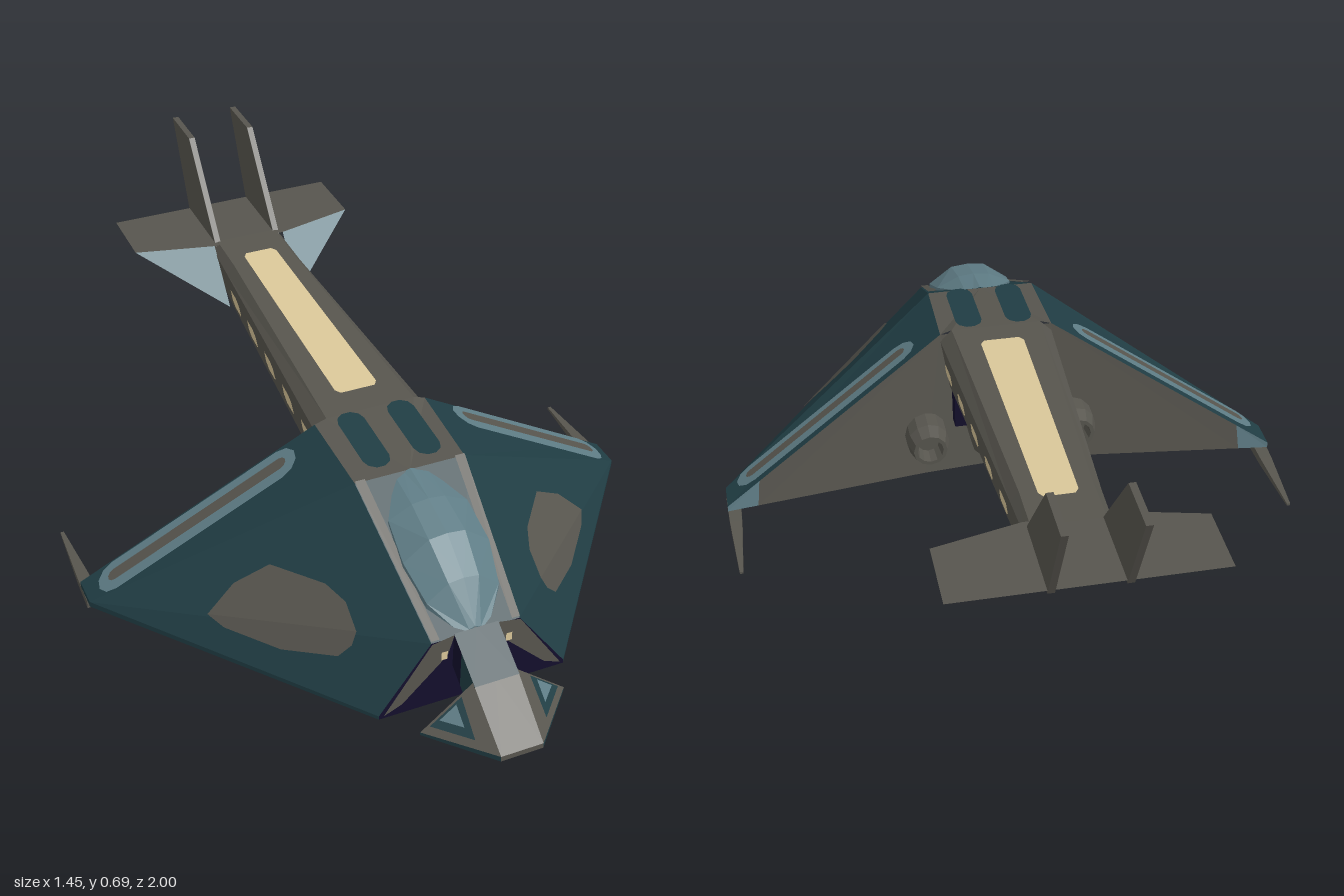
import * as THREE from 'three';

const paint = (name, color, side = THREE.FrontSide) => {
  const m = new THREE.MeshStandardMaterial({ color, flatShading: true, side });
  m.name = name;
  return m;
};

export function createModel() {
  const root = new THREE.Group();
  root.name = 'ship';
  const teal = paint('dark teal', 0x203d44);
  const slate = paint('slate', 0x4d6069);
  const grey = paint('warm grey', 0x57554e);
  const blue = paint('pale blue', 0x5f7d86);
  const tan = paint('lit tan', 0xdac799);
  const navy = paint('deep navy', 0x130f2c);
  const nozzleGrey = paint('nozzle grey', 0x57554e, THREE.DoubleSide);

  const add = (name, geo, mat) => {
    const m = new THREE.Mesh(geo, mat);
    m.name = name;
    root.add(m);
    return m;
  };

  // Flat polygons turned away from an inner point, mirrored in x by default
  function panels(name, mat, polys, inner = [0, 0.15, 0.4], mirror = true) {
    const pos = [];
    const c = new THREE.Vector3(...inner);
    for (const s of mirror ? [1, -1] : [1]) for (const poly of polys) {
      const p = poly.map(([x, y, z]) => new THREE.Vector3(x * s, y, z));
      for (let i = 1; i < p.length - 1; i++) {
        const t = new THREE.Triangle(p[0], p[i], p[i + 1]);
        const n = t.getNormal(new THREE.Vector3());
        const out = t.getMidpoint(new THREE.Vector3()).sub(c);
        const order = n.dot(out) < 0 ? [p[0], p[i + 1], p[i]] : [p[0], p[i], p[i + 1]];
        order.forEach(v => pos.push(v.x, v.y, v.z));
      }
    }
    const g = new THREE.BufferGeometry();
    g.setAttribute('position', new THREE.Float32BufferAttribute(pos, 3));
    g.computeVertexNormals();
    return add(name, g, mat);
  }

  // Painted plate: an x,z outline laid on the plane through three points (negative lift faces down)
  function decal(name, mat, outline, plane, lift, mirror = true) {
    const pl = new THREE.Plane().setFromCoplanarPoints(...plane.map(q => new THREE.Vector3(...q)));
    const { normal: n, constant: k } = pl;
    const pts = outline.map(([x, z]) => [x, -(n.x * x + n.z * z + k) / n.y + lift, z]);
    return panels(name, mat, [pts], [0, -9 * Math.sign(lift), 0.3], mirror);
  }
  const capsule = ([ax, az], [bx, bz], r) => {
    const a0 = Math.atan2(bz - az, bx - ax) + Math.PI / 2, pts = [];
    for (let i = 0; i < 12; i++) {
      const first = i < 6, a = a0 + (first ? i : i - 6) * Math.PI / 5 + (first ? 0 : Math.PI);
      pts.push([(first ? ax : bx) + Math.cos(a) * r, (first ? az : bz) + Math.sin(a) * r]);
    }
    return pts;
  };
  const lerp = THREE.MathUtils.lerp;
  const between = (p, q, t) => p.map((v, i) => lerp(v, q[i], t));

  // Delta wing hull
  const A = [0.11, 0.215, 0.76], B = [0.14, 0.415, 0.4], C = [0.145, 0.43, 0.17];
  const F = [0.235, 0.04, 0.76], T = [0.725, 0.045, 0.14], R = [0.725, 0.045, 0.06];
  const low = ([x, , z]) => [x, 0.03, z];
  const flip = ([x, y, z]) => [-x, y, z];
  const mid = ([, y, z]) => [0, y, z];
  const D = [0.2, 0.03, 0.125], E = [0, 0.03, 0.14];
  panels('wing', teal, [
    [A, F, T], [A, T, B], [B, C, R], [B, R, T],
    [F, T, low(T), low(F)], [T, R, low(R), low(T)],
    [mid(A), A, B, mid(B)],
  ]);
  panels('wingUnderside', slate, [[[0, 0.03, 0.76], low(F), low(T), low(R), D, E]]);
  const M = between(R, C, 0.15), N = between(low(R), D, 0.15);
  panels('wingRearWall', grey, [[C, M, N, D], [C, D, E, mid(C)]]);
  panels('wingRearTip', blue, [[M, R, low(R), N]]);
  panels('rearRoof', grey, [[mid(B), B, C, [0.115, 0.44, 0.17], [0, 0.44, 0.17]]]);
  panels('frontWall', navy, [[mid(A), A, F, low(F), [0, 0.03, 0.76]]]);
  panels('frontFrame', grey, [[[0.055, 0.225, 0.764], [0.11, 0.215, 0.764], [0.225, 0.04, 0.764], [0.18, 0.06, 0.764], [0.07, 0.17, 0.764]]]);
  panels('frontLamp', tan, [[[0.073, 0.165, 0.769], [0.088, 0.165, 0.769], [0.088, 0.188, 0.769], [0.073, 0.188, 0.769]]]);
  decal('roofRail', grey, [[0.09, 0.76], [0.11, 0.76], [0.14, 0.4], [0.115, 0.4]], [A, B, flip(B)], 0.006);
  decal('roofPatch', teal, capsule([0.065, 0.205], [0.065, 0.35], 0.034), [B, C, flip(C)], 0.014);

  // Wing patch folded over the ridge from A to T
  decal('wingPatchUpper', grey, [[0.235, 0.632], [0.235, 0.57], [0.26, 0.51], [0.35, 0.39], [0.43, 0.36], [0.5, 0.366]], [A, T, B], 0.006);
  decal('wingPatchLower', grey, [[0.235, 0.632], [0.5, 0.366], [0.475, 0.41], [0.38, 0.53], [0.28, 0.63], [0.25, 0.64]], [A, T, F], 0.006);
  decal('wingStripe', blue, capsule([0.25, 0.202], [0.655, 0.125], 0.04), [B, C, R], 0.008);
  decal('wingStripeCore', grey, capsule([0.25, 0.202], [0.655, 0.125], 0.015), [B, C, R], 0.011);

  // Faceted canopy lofted along z: [z, half width, top]
  const slope = z => 0.205 + (0.76 - z) * 0.553;
  const ribs = [[0.755, 0.035, 0.225], [0.69, 0.09, 0.315], [0.6, 0.108, 0.375], [0.5, 0.1, 0.402], [0.4, 0.04, 0.418]]
    .map(([z, w, top]) => {
      const b = slope(z);
      return [[0, top, z], [w * 0.42, top - 0.005, z], [w, b + (top - b) * 0.35, z], [w, b - 0.02, z]];
    });
  const loft = (sections) => sections.slice(1).flatMap((s, i) =>
    s.slice(1).map((p, j) => [sections[i][j], sections[i][j + 1], p, s[j]]));
  panels('canopy', blue, [...loft(ribs), ribs[0]], [0, 0.25, 0.53]);

  // Neck with a dark collar, then the wedge nose
  const neckIn = [0, 0.14, 0.82];
  panels('neck', teal, [
    [[0, 0.225, 0.76], [0.055, 0.225, 0.76], [0.055, 0.16, 0.87], [0, 0.16, 0.87]],
    [[0.055, 0.201, 0.8], [0.055, 0.105, 0.8], [0.055, 0.06, 0.87], [0.055, 0.16, 0.87]],
    [[0, 0.13, 0.76], [0.055, 0.13, 0.76], [0.055, 0.06, 0.87], [0, 0.06, 0.87]],
  ], neckIn);
  panels('neckCollar', navy, [[[0.055, 0.225, 0.76], [0.055, 0.13, 0.76], [0.055, 0.105, 0.8], [0.055, 0.201, 0.8]]], neckIn);
  const n1 = [0.055, 0.165, 0.86], n2 = [0.18, 0.062, 0.86], n3 = [0.052, 0.068, 1];
  const lower = ([x, , z]) => [x, 0.054, z];
  const noseIn = [0, 0.08, 0.9];
  panels('nose', grey, [[mid(n1), n1, n3, mid(n3)], [mid(n3), n3, lower(n3), mid(lower(n3))], [n1, n2, n3]], noseIn);
  panels('noseUnderside', teal, [
    [n2, n3, lower(n3), lower(n2)],
    [mid(lower(n2)), lower(n2), lower(n3), mid(lower(n3))],
    [mid(n1), n1, n2, lower(n2), mid(lower(n2))],
  ], noseIn);
  decal('noseSidePanel', teal, [[0.085, 0.866], [0.16, 0.866], [0.088, 0.945]], [n1, n2, n3], 0.004);
  decal('noseSideLight', blue, [[0.1, 0.872], [0.14, 0.872], [0.1, 0.915]], [n1, n2, n3], 0.008);

  // Tail boom sections: top centre, top edge, shoulder, bottom edge, bottom centre
  const boom = [
    [0.17, 0.115, 0.44, 0.145, 0.41, 0.125, 0.275],
    [-0.55, 0.085, 0.465, 0.105, 0.44, 0.09, 0.335],
    [-0.68, 0.085, 0.469, 0.1, 0.45, 0.09, 0.375],
  ].map(([z, a, ya, b, yb, c, yc]) => [[0, ya, z], [a, ya, z], [b, yb, z], [c, yc, z], [0, yc, z]]);
  const boomIn = [0, 0.38, -0.2];
  panels('boom', grey, loft(boom.map(s => s.slice(0, 4))), boomIn);
  panels('boomBelly', slate, [...loft(boom.map(s => s.slice(3))), boom[0]], boomIn);
  decal('skylight', tan, [[0.055, 0.08], [0.045, 0.095], [-0.045, 0.095], [-0.055, 0.08],
    [-0.046, -0.57], [-0.036, -0.585], [0.036, -0.585], [0.046, -0.57]],
    [boom[0][0], boom[0][1], boom[1][0]], 0.005, false);

  // Row of side windows
  for (let i = 0; i < 5; i++) {
    const zc = 0.1 - i * 0.145, yc = 0.352 + i * 0.009;
    const outline = [[-0.038, -0.018], [-0.03, 0.01], [-0.01, 0.022], [0.038, 0.022], [0.038, -0.008], [0.02, -0.024], [-0.03, -0.024]];
    panels('window', tan, [outline.map(([dz, dy]) => {
      const z = zc - dz, y = yc + dy, t = (0.17 - z) / 0.72;
      const h = (y - lerp(0.275, 0.335, t)) / lerp(0.135, 0.105, t);
      return [lerp(lerp(0.125, 0.145, h), lerp(0.09, 0.105, h), t) + 0.005, y, z];
    })], boomIn);
  }

  // Wedge tailplane
  const P = [0.1, 0.335, -0.55], U = [0.1, 0.468, -0.66], Q = [0.14, 0.385, -0.72];
  const W = [0.31, 0.468, -0.71], S = [0.31, 0.468, -0.89];
  const tailIn = [0, 0.43, -0.72];
  panels('tailTop', grey, [[mid(U), U, W, S, mid(S)]], tailIn);
  panels('tailCheek', blue, [[P, U, W], [P, W, Q]], tailIn);
  panels('tailUnderside', slate, [[Q, W, S], [mid(P), P, Q, mid(Q)]], tailIn);
  panels('tailRearUnderside', grey, [[mid(Q), Q, S, mid(S)]], tailIn);
  decal('tailUndersideStripe', slate, capsule([0.085, -0.755], [0.085, -0.855], 0.022), [Q, flip(Q), S], -0.005);

  // Twin fins and wing tip spikes
  const finShape = new THREE.Shape([[0.67, 0.46], [0.86, 0.7], [1, 0.7], [0.89, 0.46]].map(p => new THREE.Vector2(...p)));
  const fin = new THREE.ExtrudeGeometry(finShape, { depth: 0.016, bevelEnabled: false });
  fin.rotateY(Math.PI / 2).translate(-0.008, 0, 0);
  const spike = new THREE.BoxGeometry(0.036, 0.024, 0.29, 1, 1, 3);
  const sp = spike.attributes.position;
  for (let i = 0; i < sp.count; i++) {
    const k = lerp(0.25, 1, Math.min(1, (sp.getZ(i) + 0.145) / 0.24));
    sp.setXY(i, sp.getX(i) * k, sp.getY(i) * k);
  }
  spike.computeVertexNormals();
  for (const s of [1, -1]) {
    add('fin', fin, grey).position.x = s * 0.085;
    add('tipSpike', spike, grey).position.set(s * 0.708, 0.017, -0.03);
  }

  // Engines: outer shell with an open, hollow rear end
  add('engineMount', new THREE.BoxGeometry(0.24, 0.11, 0.06), navy).position.set(0, 0.235, 0.14);
  for (const [x, r] of [[-0.195, 0.055], [0, 0.085], [0.195, 0.055]]) {
    const profile = [[0.9, -0.14], [1, -0.05], [1, 0.02], [0.8, 0.06], [0.62, 0.06], [0.5, 0.01]]
      .map(([k, y]) => new THREE.Vector2(k * r, y));
    const shell = add('engine', new THREE.LatheGeometry(profile, 12), nozzleGrey);
    shell.rotation.x = -Math.PI / 2;
    shell.position.set(x, 0.155, 0.11);
    const glow = add('engineGlow', new THREE.CircleGeometry(r * 0.54, 12), x ? grey : tan);
    glow.rotation.y = Math.PI;
    glow.position.set(x, 0.155, 0.092);
  }
  return root;
}
